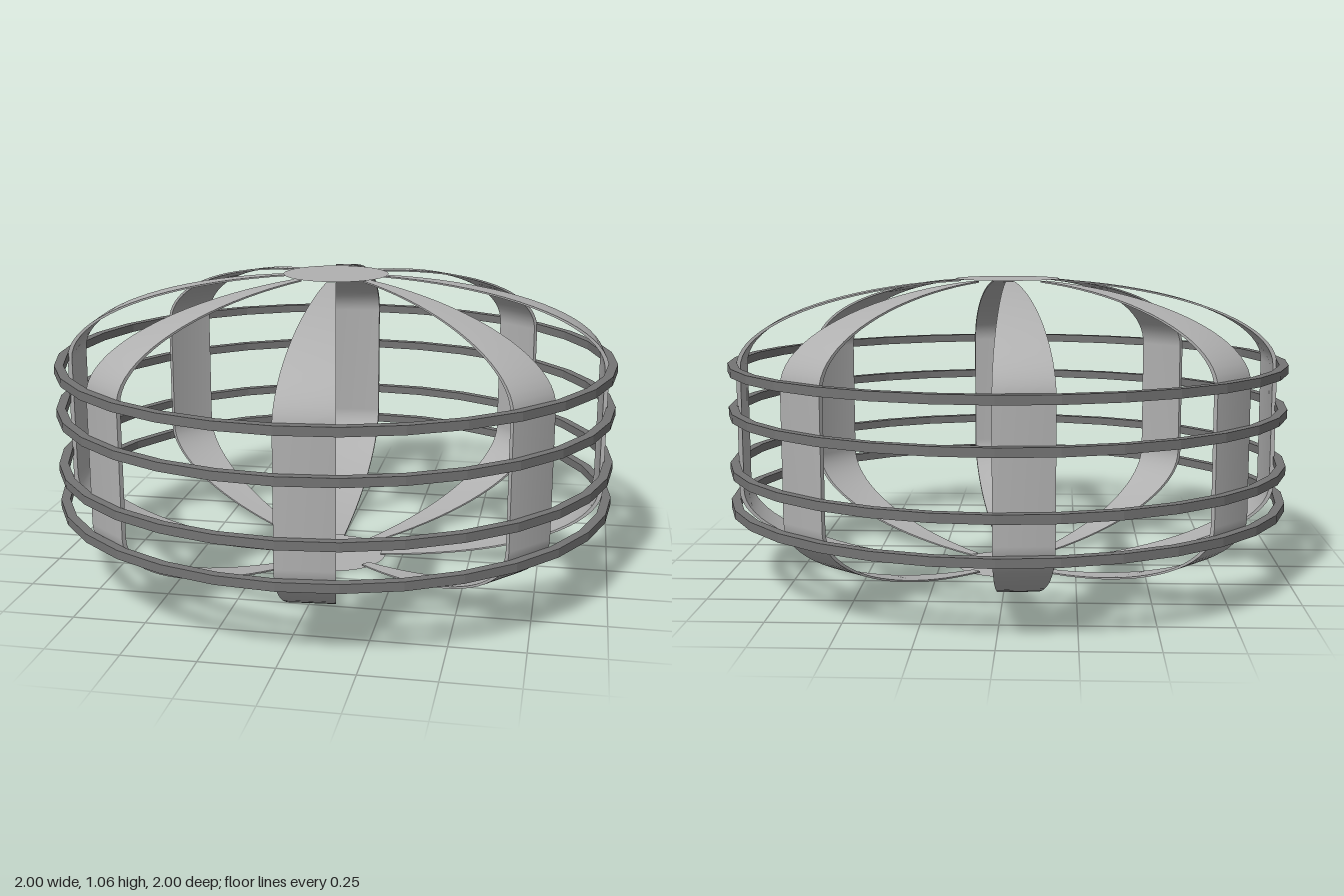
import * as THREE from 'three';

const SIDES = 32;
const HEIGHT = 1.06;
const STEP = (Math.PI * 2) / SIDES;
const RIB_ANGLE = THREE.MathUtils.degToRad(-0.6);

// Profile of a rib face: bottom cap curve, straight wall, top cap curve
function ribProfile(radius, bottom) {
  const points = [];
  const steps = 20;
  const capHeight = 0.31 - bottom;
  const start = Math.acos(0.17 / radius);
  for (let i = 0; i <= steps; i++) {
    const a = start * (1 - i / steps);
    points.push(new THREE.Vector2(radius * Math.cos(a), bottom + capHeight * (1 - Math.sin(a))));
  }
  const upper = points.map((p) => new THREE.Vector2(p.x, HEIGHT - p.y)).reverse();
  return points.concat(upper);
}

export function createModel() {
  const group = new THREE.Group();
  const ribMaterial = new THREE.MeshStandardMaterial({ color: 0xb0b0b0, side: THREE.DoubleSide });
  const hoopMaterial = new THREE.MeshStandardMaterial({ color: 0x747474, flatShading: true });

  const add = (parent, name, geometry, material, y = 0) => {
    const mesh = new THREE.Mesh(geometry, material);
    mesh.name = name;
    mesh.position.y = y;
    parent.add(mesh);
    return mesh;
  };

  // Eight thin wedge-shaped ribs: outer face, inner face and two edges
  const outerProfile = ribProfile(0.971, 0);
  const innerProfile = ribProfile(0.956, 0.005);
  const outerFace = new THREE.LatheGeometry(outerProfile, 1, RIB_ANGLE, STEP);
  const innerFace = new THREE.LatheGeometry(innerProfile, 1, RIB_ANGLE, STEP);
  const edge = new THREE.ShapeGeometry(new THREE.Shape([...outerProfile, ...innerProfile.reverse()]));
  for (let i = 0; i < 8; i++) {
    const rib = new THREE.Group();
    rib.name = 'rib';
    rib.rotation.y = (i * Math.PI) / 4;
    add(rib, 'ribOuterFace', outerFace, ribMaterial);
    add(rib, 'ribInnerFace', innerFace, ribMaterial);
    for (const angle of [RIB_ANGLE, RIB_ANGLE + STEP]) {
      add(rib, 'ribEdge', edge, ribMaterial).rotation.y = angle - Math.PI / 2;
    }
    group.add(rib);
  }

  // Horizontal hoops with a square section
  const inner = 0.968, outer = 1, half = 0.015;
  const section = [[outer, -half], [outer, half], [inner, half], [inner, -half], [outer, -half]]
    .map(([x, y]) => new THREE.Vector2(x, y));
  const hoopGeometry = new THREE.LatheGeometry(section, SIDES);
  for (const y of [0.267, 0.4, 0.6, 0.755]) add(group, 'hoop', hoopGeometry, hoopMaterial, y);

  // Flat discs where the ribs meet
  const hubGeometry = new THREE.CircleGeometry(0.187, SIDES);
  add(group, 'bottomHub', hubGeometry, ribMaterial, 0.001).rotation.x = Math.PI / 2;
  add(group, 'topHub', hubGeometry, ribMaterial, HEIGHT - 0.001).rotation.x = -Math.PI / 2;

  return group;
}
